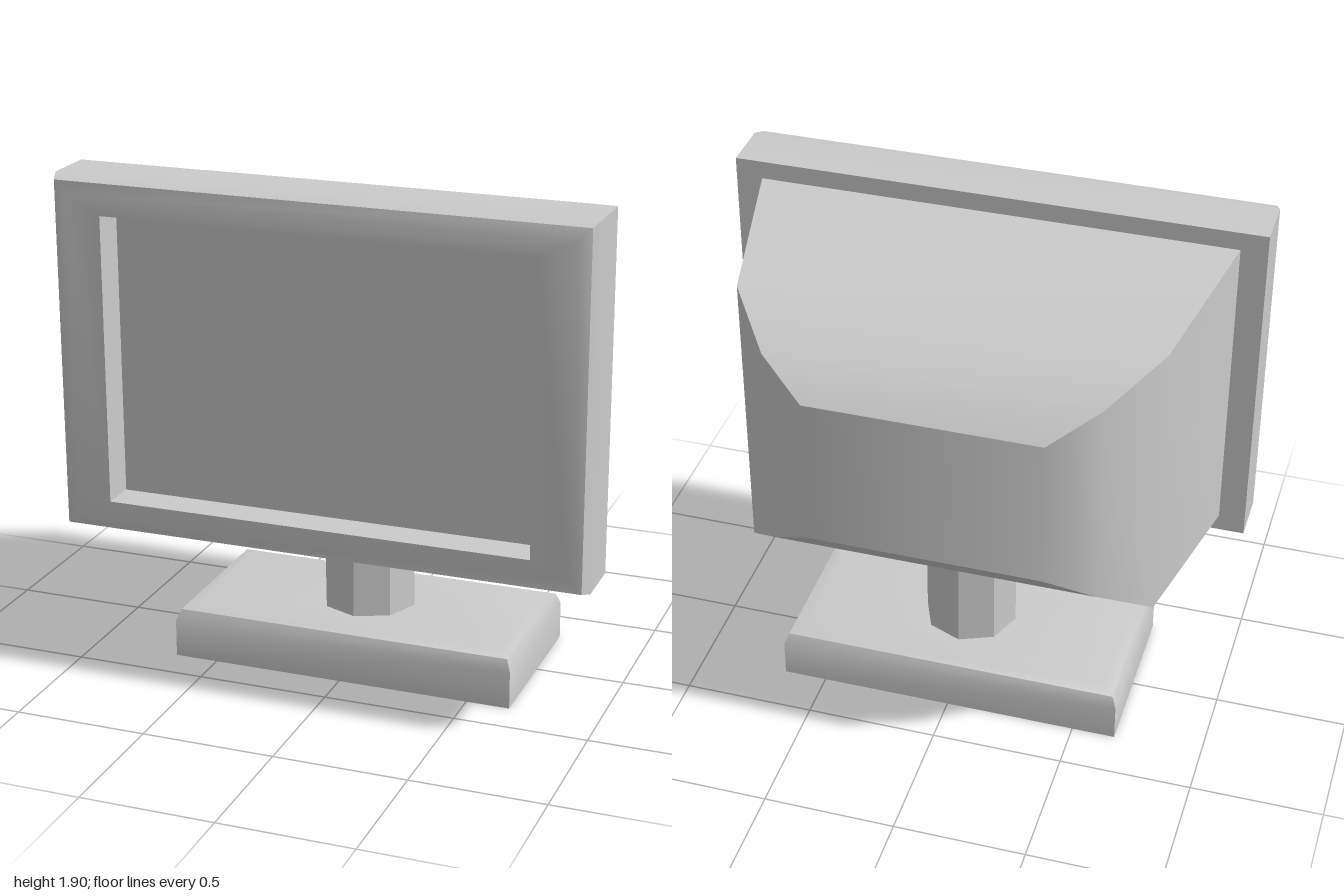
import * as THREE from 'three';
import { mergeGeometries, toCreasedNormals } from 'three/addons/utils/BufferGeometryUtils.js';

const CREASE = THREE.MathUtils.degToRad(39);

// Corners of a rectangle, counter-clockwise seen from +z
const rect = ([z, hx, lo, hi]) => [[-hx, lo, z], [hx, lo, z], [hx, hi, z], [-hx, hi, z]];

// Skin through rectangular sections [z, half width, low y, high y]
function loft(sections, capStart, capEnd) {
  const rings = sections.map(rect);
  const pos = [];
  const quad = (a, b, c, d) => pos.push(...a, ...b, ...c, ...a, ...c, ...d);
  for (let i = 0; i < rings.length - 1; i++) {
    for (let j = 0; j < 4; j++) {
      const k = (j + 1) % 4;
      quad(rings[i][j], rings[i][k], rings[i + 1][k], rings[i + 1][j]);
    }
  }
  if (capStart) quad(...rings[0].slice().reverse());
  if (capEnd) quad(...rings[rings.length - 1]);
  const geo = new THREE.BufferGeometry();
  geo.setAttribute('position', new THREE.Float32BufferAttribute(pos, 3));
  return geo;
}

export function createModel() {
  const group = new THREE.Group();
  const grey = new THREE.MeshStandardMaterial({ color: 0xcccccc });
  const greyDouble = new THREE.MeshStandardMaterial({ color: 0xcccccc, side: THREE.DoubleSide });
  const add = (name, geo, material = grey) => {
    const mesh = new THREE.Mesh(geo, material);
    mesh.name = name;
    group.add(mesh);
    return mesh;
  };

  // Bevelled front frame with the sunken screen
  add('screenFrame', toCreasedNormals(loft([
    [0.33, 1, 0.575, 1.905],
    [0.53, 1, 0.575, 1.905],
    [0.58, 0.982, 0.59, 1.888],
    [0.597, 0.935, 0.64, 1.84],
    [0.597, 0.8, 0.7, 1.775],
    [0.465, 0.8, 0.7, 1.775],
  ], true, true), CREASE));

  // Tapering tube housing behind the frame
  add('rearHousing', toCreasedNormals(loft([
    [-0.597, 0.435, 0.945, 1.528],
    [-0.49, 0.61, 0.828, 1.64],
    [-0.27, 0.777, 0.64, 1.752],
    [0.33, 0.9, 0.64, 1.835],
  ], true, true), CREASE));

  // Hollow eight-sided neck
  const neckRadius = 0.18, centreZ = 0.02;
  const neck = new THREE.CylinderGeometry(neckRadius, neckRadius, 0.44, 8, 1, true);
  add('neck', toCreasedNormals(neck, CREASE), greyDouble).position.set(0, 0.42, centreZ);

  // Base shell, open underneath, with a hole in the top where the neck meets it
  const hx = 0.605, hz = 0.275;
  const plate = new THREE.Shape([[-hx, -hz], [hx, -hz], [hx, hz], [-hx, hz]]
    .map(([x, y]) => new THREE.Vector2(x, y)));
  plate.holes.push(new THREE.Path(Array.from({ length: 8 }, (_, i) => {
    const a = -i * Math.PI / 4;
    return new THREE.Vector2(neckRadius * Math.cos(a), neckRadius * Math.sin(a));
  })));
  const top = new THREE.ShapeGeometry(plate).toNonIndexed();
  top.deleteAttribute('uv');
  top.deleteAttribute('normal');
  top.translate(0, 0, 0.2);
  const shell = loft([
    [0, 0.665, -0.335, 0.335],
    [0.145, 0.665, -0.335, 0.335],
    [0.187, 0.648, -0.317, 0.317],
    [0.2, hx, -hz, hz],
  ], false, false);
  const base = mergeGeometries([shell, top]).rotateX(-Math.PI / 2);
  add('base', toCreasedNormals(base, CREASE), greyDouble).position.z = centreZ;

  return group;
}
